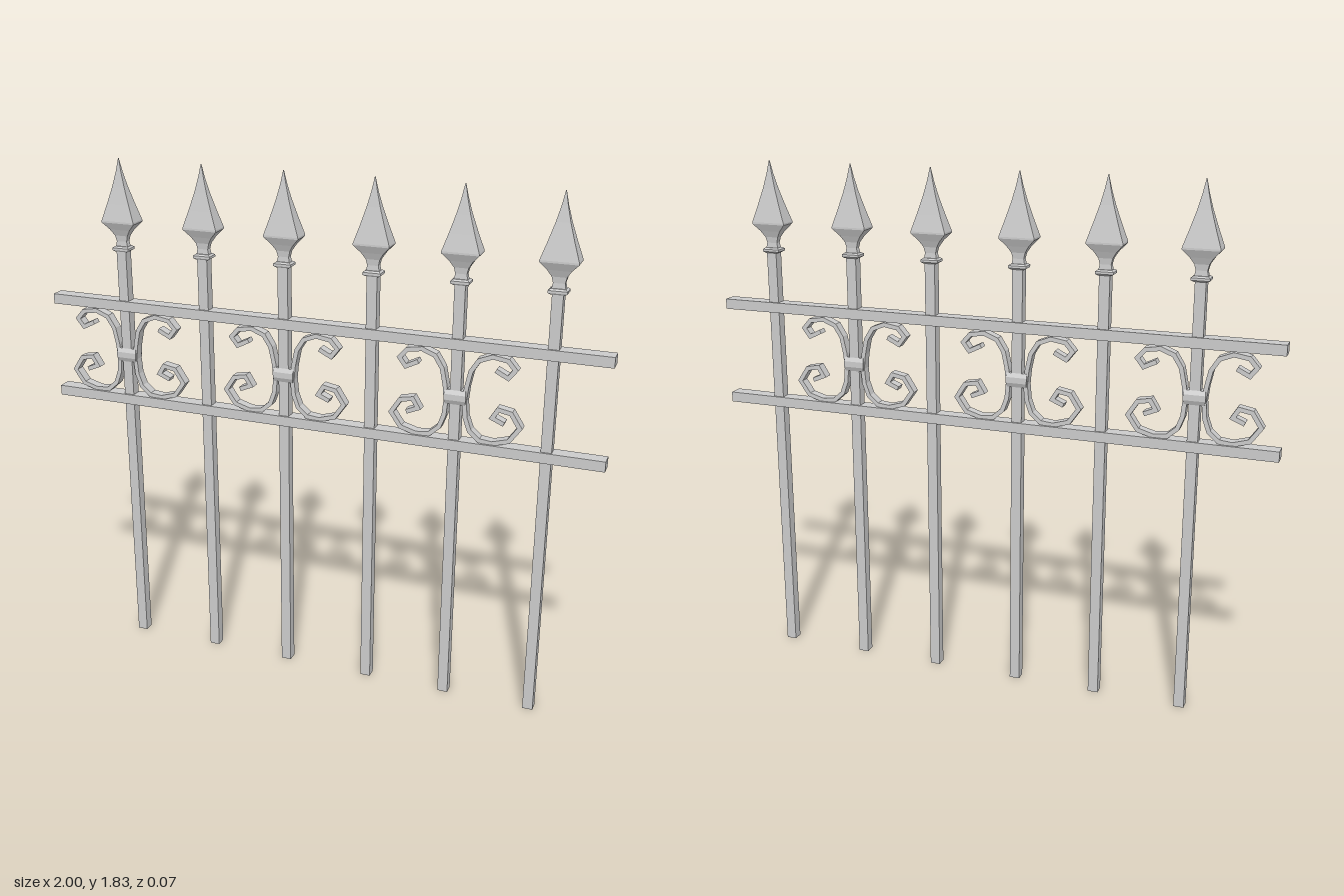
import * as THREE from 'three';

const metal = new THREE.MeshStandardMaterial({ color: 0xcccccc, flatShading: true });

function addMesh(parent, name, geometry, x = 0, y = 0) {
  const mesh = new THREE.Mesh(geometry, metal);
  mesh.name = name;
  mesh.position.set(x, y, 0);
  parent.add(mesh);
  return mesh;
}

// Solid through rectangular sections [y, halfWidth, halfDepth], bottom to top
function loft(sections) {
  const pos = [], idx = [];
  for (const [y, w, d] of sections) pos.push(w, y, d, w, y, -d, -w, y, -d, -w, y, d);
  const last = (sections.length - 1) * 4;
  for (let s = 0; s < last; s += 4) {
    for (let i = 0; i < 4; i++) {
      const a = s + i, b = s + (i + 1) % 4;
      idx.push(a, b, b + 4, a, b + 4, a + 4);
    }
  }
  idx.push(0, 2, 1, 0, 3, 2, last, last + 1, last + 2, last, last + 2, last + 3);
  const indexed = new THREE.BufferGeometry();
  indexed.setAttribute('position', new THREE.Float32BufferAttribute(pos, 3));
  indexed.setIndex(idx);
  const g = indexed.toNonIndexed();
  g.computeVertexNormals();
  return g;
}

// Flat bar of constant thickness bent along a path in the xy plane
function bentBar(points, thickness, depth) {
  const left = [], right = [];
  points.forEach((p, i) => {
    const prev = points[Math.max(i - 1, 0)], next = points[Math.min(i + 1, points.length - 1)];
    const a = p.clone().sub(prev).normalize(), b = next.clone().sub(p).normalize();
    const t = a.clone().add(b).normalize();
    const miter = thickness / 2 / Math.max(0.6, t.dot(i ? a : b));
    const n = new THREE.Vector2(-t.y, t.x).multiplyScalar(miter);
    left.push(p.clone().add(n));
    right.unshift(p.clone().sub(n));
  });
  const g = new THREE.ExtrudeGeometry(new THREE.Shape([...left, ...right]), { depth, bevelEnabled: false });
  return g.translate(0, 0, -depth / 2);
}

// Scroll centre line, x measured from the post: upper curl down to lower curl
const scrollPath = [
  [0.13, 1.235], [0.172, 1.214], [0.194, 1.243], [0.169, 1.272], [0.118, 1.28],
  [0.073, 1.262], [0.048, 1.222], [0.036, 1.165], [0.031, 1.115], [0.036, 1.06],
  [0.052, 1.016], [0.085, 0.987], [0.13, 0.982], [0.185, 0.998], [0.219, 1.047],
  [0.188, 1.095], [0.145, 1.103], [0.126, 1.072], [0.166, 1.055],
];

export function createModel() {
  const fence = new THREE.Group();
  fence.name = 'fence';

  // Horizontal rails
  for (const [name, y] of [['lowerRail', 0.96], ['upperRail', 1.31]]) {
    addMesh(fence, name, new THREE.BoxGeometry(2, 0.036, 0.05), 0, y);
  }

  // Posts with collars and spear finials
  const postX = [-0.717, -0.406, -0.11, 0.203, 0.497, 0.807];
  const postGeo = new THREE.BoxGeometry(0.036, 1.51, 0.036);
  const collarGeo = loft([[1.505, 0.022, 0.019], [1.51, 0.031, 0.023], [1.518, 0.031, 0.023], [1.523, 0.024, 0.016]]);
  const spearGeo = loft([
    [1.515, 0.024, 0.012], [1.54, 0.019, 0.01], [1.56, 0.024, 0.012], [1.582, 0.038, 0.021],
    [1.607, 0.0615, 0.033], [1.613, 0.0615, 0.033], [1.67, 0.042, 0.023],
    [1.73, 0.023, 0.013], [1.78, 0.01, 0.006], [1.825, 0.001, 0.001],
  ]);
  for (const x of postX) {
    const post = new THREE.Group();
    post.name = 'post';
    post.position.x = x;
    addMesh(post, 'postBar', postGeo, 0, 0.755);
    addMesh(post, 'collar', collarGeo);
    addMesh(post, 'spearFinial', spearGeo);
    fence.add(post);
  }

  // Mirrored scrolls clamped to every second post
  const scrollGeos = [-1, 1].map(side =>
    bentBar(scrollPath.map(([x, y]) => new THREE.Vector2(side * x, y)), 0.015, 0.034));
  const clampGeo = loft([[1.103, 0.034, 0.018], [1.118, 0.037, 0.025], [1.138, 0.037, 0.025], [1.152, 0.035, 0.018]]);
  for (const x of [postX[0], postX[2], postX[4]]) {
    const ornament = new THREE.Group();
    ornament.name = 'scrollOrnament';
    ornament.position.x = x;
    addMesh(ornament, 'rightScroll', scrollGeos[0]);
    addMesh(ornament, 'leftScroll', scrollGeos[1]);
    addMesh(ornament, 'clamp', clampGeo);
    fence.add(ornament);
  }
  return fence;
}
